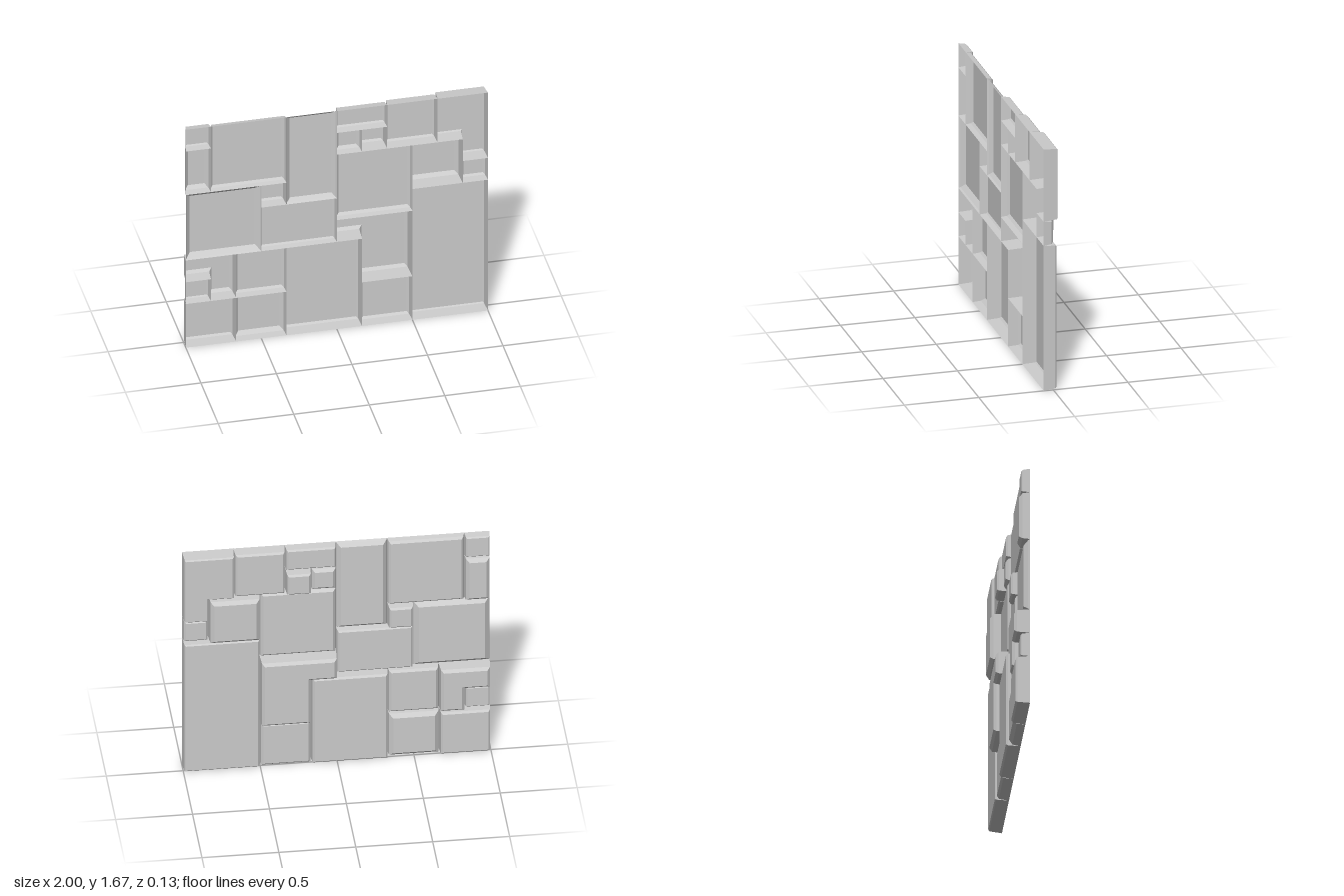
import * as THREE from 'three';

const U = 1 / 6;      // grid cell
const COLS = 12;
const OPEN_Z = 0.065; // open rim of every tray

// Tiles in laying order: [width, height, z of the raised panel, bevel width, notch]
// A notch is the height at which an L-shaped tile reaches one cell over its left neighbour.
const TILES = [
  [2, 2, -0.028, 0.012], [2, 2, -0.013, 0.024], [3, 4, -0.029, 0.012],
  [2, 2, -0.015, 0.014], [3, 6, -0.025, 0.008], [1, 1, 0.005, 0.008],
  [1, 2, -0.035, 0.018, 1], [2, 2, 0.005, 0.014], [2, 3, -0.064, 0.018, 2],
  [3, 3, 0.025, 0.028], [3, 2, 0.015, 0.01], [3, 3, 0.012, 0.016],
  [1, 1, -0.012, 0.012], [2, 4, 0.03, 0.022], [2, 2, -0.056, 0.022],
  [1, 1, -0.003, 0.012], [1, 2, -0.005, 0.022], [3, 3, 0.018, 0.014],
  [1, 3, -0.033, 0.008, 1], [1, 1, 0, 0.018], [1, 1, -0.041, 0.012],
  [2, 2, -0.016, 0.012], [1, 1, 0.01, 0.008], [2, 1, 0.003, 0.01],
];

// Lay tiles like masonry: each starts in the lowest, leftmost free cell
function layTiles() {
  const taken = new Set();
  let cell = 0;
  const fill = (x0, y0, x1, y1) => {
    for (let y = y0; y < y1; y++) for (let x = x0; x < x1; x++) taken.add(y * COLS + x);
  };
  return TILES.map(([w, h, backZ, bevel, notch]) => {
    while (taken.has(cell)) cell++;
    const x = cell % COLS, y = Math.floor(cell / COLS);
    const outline = [[x, y], [x + w, y], [x + w, y + h]];
    fill(x, y, x + w, y + h);
    if (notch) {
      outline.push([x - 1, y + h], [x - 1, y + notch], [x, y + notch]);
      fill(x - 1, y + notch, x, y + h);
    } else {
      outline.push([x, y + h]);
    }
    const points = outline.map(([px, py]) => new THREE.Vector2((px - COLS / 2) * U, py * U));
    return { points, backZ, bevel, name: notch ? 'cornerTile' : 'tile' };
  });
}

// Move every side of a right-angled outline inwards by d
function inset(points, d) {
  const n = points.length;
  return points.map((p, i) => {
    const a = points[(i + n - 1) % n], b = points[(i + 1) % n];
    const inDir = p.clone().sub(a).normalize(), outDir = b.clone().sub(p).normalize();
    return new THREE.Vector2(
      p.x - d * (inDir.y + outDir.y),
      p.y + d * (inDir.x + outDir.x));
  });
}

// Hollow tray: drafted wall, bevel, flat back panel; open at the front
function trayGeometry(base, backZ, bevel) {
  const rings = [
    [base, OPEN_Z],
    [inset(base, 0.007), backZ + bevel],
    [inset(base, 0.007 + bevel), backZ],
  ];
  const n = base.length;
  const positions = rings.flatMap(([pts, z]) => pts.flatMap((p) => [p.x, p.y, z]));
  const index = [];
  for (let r = 0; r < 2; r++) {
    for (let i = 0; i < n; i++) {
      const a = r * n + i, b = r * n + (i + 1) % n;
      index.push(a, a + n, b, b, a + n, b + n);
    }
  }
  for (const [a, b, c] of THREE.ShapeUtils.triangulateShape(rings[2][0], [])) {
    index.push(2 * n + a, 2 * n + c, 2 * n + b);
  }
  const indexed = new THREE.BufferGeometry();
  indexed.setAttribute('position', new THREE.Float32BufferAttribute(positions, 3));
  indexed.setIndex(index);
  const geometry = indexed.toNonIndexed();
  geometry.computeVertexNormals();
  return geometry;
}

export function createModel() {
  const group = new THREE.Group();
  group.name = 'stonePanel';
  const material = new THREE.MeshStandardMaterial({
    color: 0xcccccc, flatShading: true, side: THREE.DoubleSide,
  });
  layTiles().forEach(({ points, backZ, bevel, name }, i) => {
    const tile = new THREE.Mesh(trayGeometry(points, backZ, bevel), material);
    tile.name = `${name}${i + 1}`;
    group.add(tile);
  });
  return group;
}
